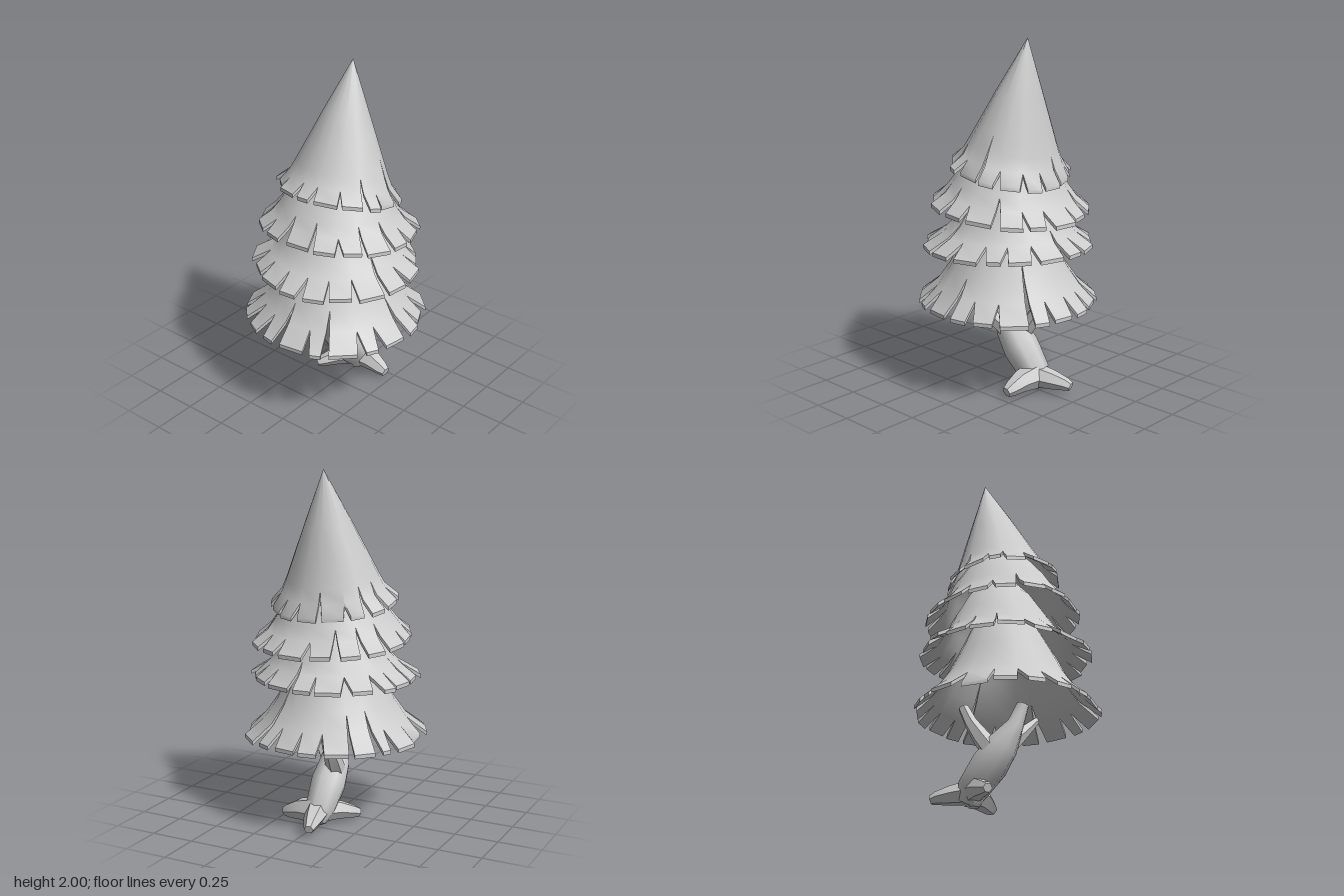
import * as THREE from 'three';
import { toCreasedNormals } from 'three/addons/utils/BufferGeometryUtils.js';

const material = new THREE.MeshStandardMaterial({ color: 0xcccccc, side: THREE.DoubleSide });

function seeded(seed) {
  return () => (seed = (seed * 16807) % 2147483647) / 2147483647;
}

function meshFrom(positions, name, crease) {
  const geo = new THREE.BufferGeometry();
  geo.setAttribute('position', new THREE.Float32BufferAttribute(positions, 3));
  const mesh = new THREE.Mesh(toCreasedNormals(geo, crease), material);
  mesh.name = name;
  return mesh;
}

// Corners run counter-clockwise seen from outside
function quad(out, a, b, c, d) {
  for (const p of [a, b, c, a, c, d]) out.push(p.x, p.y, p.z);
}

// Slit angles in degrees, evenly spread from a starting angle
const spread = (count, start) => Array.from({ length: count }, (_, i) => start + (i * 360) / count);

// Flared cone of foliage; its hem is slit into straight-ended tabs.
// rows: [y, radius, centre x] from apex to hem; deep: rows cut by the first slit
function foliageTier({ name, rows, tilt, depth, cuts, wobble, deep, seed }) {
  const rnd = seeded(seed);
  const last = rows.length - 1;
  const count = cuts.length;
  const thickness = 0.022;
  const slits = cuts.map((degrees, i) => {
    const k = rnd();
    return {
      angle: THREE.MathUtils.degToRad(degrees + (i ? (rnd() - 0.5) * wobble : 0)),
      root: i === 0 ? last - deep : k < 0.72 ? last - 1 : last - 2,
      gap: [0.02 + rnd() * 0.055, 0.02 + rnd() * 0.055],
    };
  });
  const out = [];
  for (let i = 0; i < count; i++) {
    const s0 = slits[i];
    const s1 = slits[(i + 1) % count];
    const wrap = i === count - 1 ? Math.PI * 2 : 0;
    const reach = 0.96 + rnd() * 0.08;
    const point = (j, slit, dir, extra) => {
      const [y, r, cx] = rows[j];
      const open = Math.max(0, (j - slit.root) / (last - slit.root));
      const a = slit.angle + extra + dir * slit.gap[dir > 0 ? 1 : 0] * open;
      const radius = j === last ? r * reach : r;
      const x = radius * Math.sin(a);
      return new THREE.Vector3(cx + x, y - tilt * x, depth * radius * Math.cos(a) - 0.005);
    };
    const left = rows.map((_, j) => point(j, s0, 1, 0));
    const right = rows.map((_, j) => point(j, s1, -1, wrap));
    const under = (p) => p.clone().setY(p.y - thickness);
    for (let j = 0; j < last; j++) {
      const [a, b, c, d] = [left[j], left[j + 1], right[j + 1], right[j]];
      if (j > 0) {
        quad(out, a, b, c, d);
        quad(out, under(d), under(c), under(b), under(a));
      } else {
        for (const p of [a, b, c, under(a), under(c), under(b)]) out.push(p.x, p.y, p.z);
      }
      // Slit walls
      if (j >= s0.root) quad(out, a, under(a), under(b), b);
      if (j >= s1.root) quad(out, d, c, under(c), under(d));
    }
    // Hem edge
    quad(out, left[last], under(left[last]), under(right[last]), right[last]);
  }
  return meshFrom(out, name, 0.75);
}

// Tapered, capped limb through [x, y, z, radius] stations
function limb(name, stations, sides) {
  const pts = stations.map(([x, y, z]) => new THREE.Vector3(x, y, z));
  const rings = pts.map((p, i) => {
    const dir = pts[Math.min(i + 1, pts.length - 1)].clone()
      .sub(pts[Math.max(i - 1, 0)]).normalize();
    const ref = Math.abs(dir.y) > 0.75 ? new THREE.Vector3(0, 0, 1) : new THREE.Vector3(0, 1, 0);
    const u = ref.cross(dir).normalize();
    const v = dir.clone().cross(u);
    return Array.from({ length: sides }, (_, k) => {
      const a = (k / sides) * Math.PI * 2;
      return p.clone()
        .addScaledVector(u, Math.cos(a) * stations[i][3])
        .addScaledVector(v, Math.sin(a) * stations[i][3]);
    });
  });
  const out = [];
  const end = rings.length - 1;
  for (let k = 0; k < sides; k++) {
    const n = (k + 1) % sides;
    for (let i = 0; i < end; i++) {
      quad(out, rings[i][k], rings[i][n], rings[i + 1][n], rings[i + 1][k]);
    }
    for (const p of [pts[0], rings[0][n], rings[0][k], pts[end], rings[end][k], rings[end][n]]) {
      out.push(p.x, p.y, p.z);
    }
  }
  return meshFrom(out, name, 0.9);
}

export function createModel() {
  const tree = new THREE.Group();
  tree.name = 'tree';

  // Foliage, bottom to top, leaning towards +x at the tip
  const foliage = new THREE.Group();
  foliage.name = 'foliage';
  const bottomCuts = [58, 72, 91, 107, 127, 145, 157, 177, 198, 215,
    233, 251, 267, 288, 303, 325, 339, 362, 377, 396];
  const tiers = [
    { name: 'bottomTier', tilt: 0, depth: 0.99, cuts: bottomCuts, wobble: 0, deep: 3, seed: 11, rows: [
      [1.2, 0, 0.02], [1.0, 0.19, 0.01], [0.82, 0.28, 0], [0.7, 0.34, 0], [0.6, 0.41, 0], [0.511, 0.508, 0]] },
    { name: 'lowerMiddleTier', tilt: -0.01, depth: 1.01, cuts: spread(18, -17), wobble: 6, deep: 3, seed: 57, rows: [
      [1.4, 0, 0.04], [1.2, 0.19, 0.04], [1.05, 0.28, 0.03], [0.97, 0.32, 0.02], [0.91, 0.375, 0.01], [0.845, 0.467, 0.005]] },
    { name: 'upperMiddleTier', tilt: 0.09, depth: 1.03, cuts: spread(17, -11), wobble: 6, deep: 2, seed: 203, rows: [
      [1.55, 0, 0.06], [1.4, 0.19, 0.04], [1.27, 0.28, 0.03], [1.19, 0.32, 0.02], [1.13, 0.365, 0.02], [1.07, 0.437, 0.02]] },
    { name: 'topTier', tilt: 0.2, depth: 1.12, cuts: spread(16, 12), wobble: 6, deep: 3, seed: 419, rows: [
      [2.0, 0, 0.145], [1.7, 0.122, 0.092], [1.5, 0.2, 0.06], [1.41, 0.235, 0.045], [1.34, 0.265, 0.035], [1.277, 0.318, 0.025]] },
  ];
  for (const tier of tiers) foliage.add(foliageTier(tier));
  tree.add(foliage);

  // Crooked trunk with forked boughs running up into the foliage
  const trunk = new THREE.Group();
  trunk.name = 'trunk';
  trunk.add(limb('stem', [
    [0.24, 0.03, 0, 0.06], [0.2, 0.1, -0.01, 0.09], [0.1, 0.22, -0.01, 0.105], [0.02, 0.32, -0.01, 0.09],
    [-0.05, 0.44, 0.01, 0.048], [-0.09, 0.55, 0.02, 0.035]], 8));
  trunk.add(limb('sideBough', [
    [0.05, 0.26, -0.04, 0.06], [0.13, 0.37, -0.055, 0.05], [0.19, 0.46, -0.06, 0.038], [0.24, 0.56, -0.06, 0.03]], 6));
  trunk.add(limb('frontBough', [
    [0.02, 0.31, 0.01, 0.06], [-0.02, 0.385, 0.08, 0.045], [-0.06, 0.47, 0.16, 0.03], [-0.08, 0.52, 0.21, 0.02]], 6));

  // Three splayed roots: tip position and thickness
  const roots = [[0.435, 0.055, -0.06, 1], [0.025, 0.04, -0.17, 1], [0.2, 0.04, 0.22, 1.15]];
  for (const [x, y, z, thick] of roots) {
    const at = (t, h, r) => [0.22 + (x - 0.22) * t, h, z * t, r * thick];
    trunk.add(limb('root', [at(0, 0.085, 0.07), at(0.5, 0.075, 0.055), at(0.85, y + 0.01, 0.038), at(1, y, 0.026)], 6));
  }
  trunk.add(limb('taproot', [[0.21, 0.09, 0, 0.07], [0.2, 0.035, 0, 0.06], [0.2, 0, 0, 0.03]], 6));
  tree.add(trunk);
  return tree;
}
